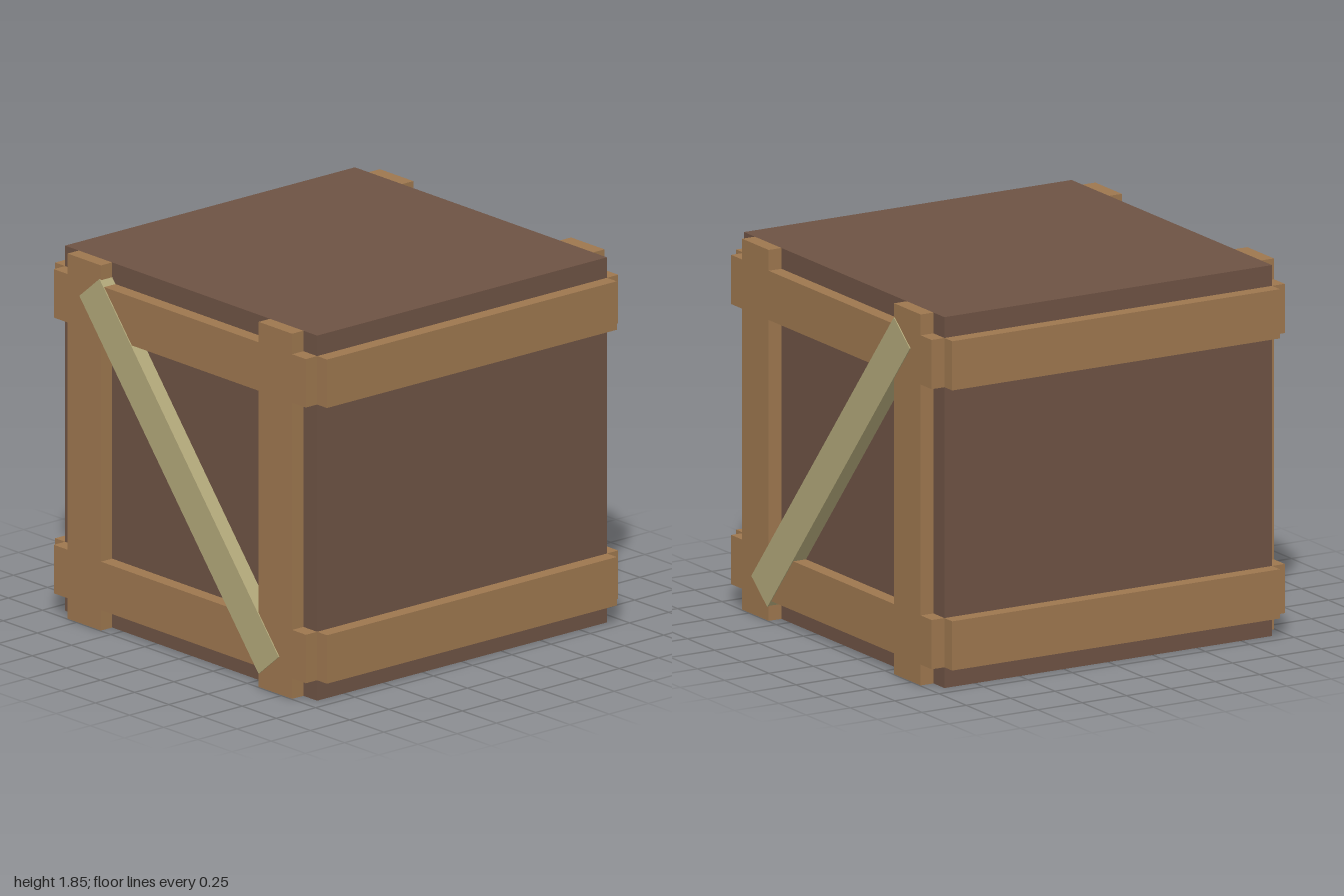
import * as THREE from 'three';

const HALF = 0.923;   // half width of the crate body
const FRAME = 0.995;  // outer face of the planks
const HEIGHT = 1.846;

export function createModel() {
  const crate = new THREE.Group();
  crate.name = 'crate';
  const bodyMat = new THREE.MeshStandardMaterial({ color: 0x6d5243 });
  const plankMat = new THREE.MeshStandardMaterial({ color: 0x9c764e });
  const braceMat = new THREE.MeshStandardMaterial({ color: 0xb0a678 });

  const addBox = (name, mat, size, pos) => {
    const mesh = new THREE.Mesh(new THREE.BoxGeometry(...size), mat);
    mesh.name = name;
    mesh.position.set(...pos);
    crate.add(mesh);
    return mesh;
  };

  // Solid body
  addBox('body', bodyMat, [HALF * 2, HEIGHT, HALF * 2], [0, HEIGHT / 2, 0]);

  const thick = FRAME - HALF;
  const mid = (FRAME + HALF) / 2;
  const plank = 0.245;
  const railHeights = [0.226, HEIGHT - 0.226];

  for (const s of [1, -1]) {
    const end = s > 0 ? 'front' : 'back';
    const side = s > 0 ? 'left' : 'right';

    // Upright planks on the front and back
    for (const x of [-0.7, 0.7]) {
      addBox(`${end}Post`, plankMat, [plank, HEIGHT, thick], [x, HEIGHT / 2, s * mid]);
    }

    for (const y of railHeights) {
      // Rails between and beyond the posts, kept clear of the post volumes
      addBox(`${end}Rail`, plankMat, [1.4 - plank, plank, thick], [0, y, s * mid]);
      const stub = HALF - 0.7 - plank / 2;
      for (const t of [-1, 1]) {
        addBox(`${end}RailEnd`, plankMat, [stub, plank, thick], [t * (HALF - stub / 2), y, s * mid]);
      }
      // Side rails
      addBox(`${side}Rail`, plankMat, [thick, plank, HALF * 2], [s * mid, y, 0]);
    }

    // Diagonal brace, slightly proud of the frame
    const brace = addBox(`${end}Brace`, braceMat, [2.06, 0.191, 1 - HALF], [0, HEIGHT / 2, s * (1 + HALF) / 2]);
    brace.rotation.z = -Math.atan2(1.594, 1.318);
  }
  return crate;
}
